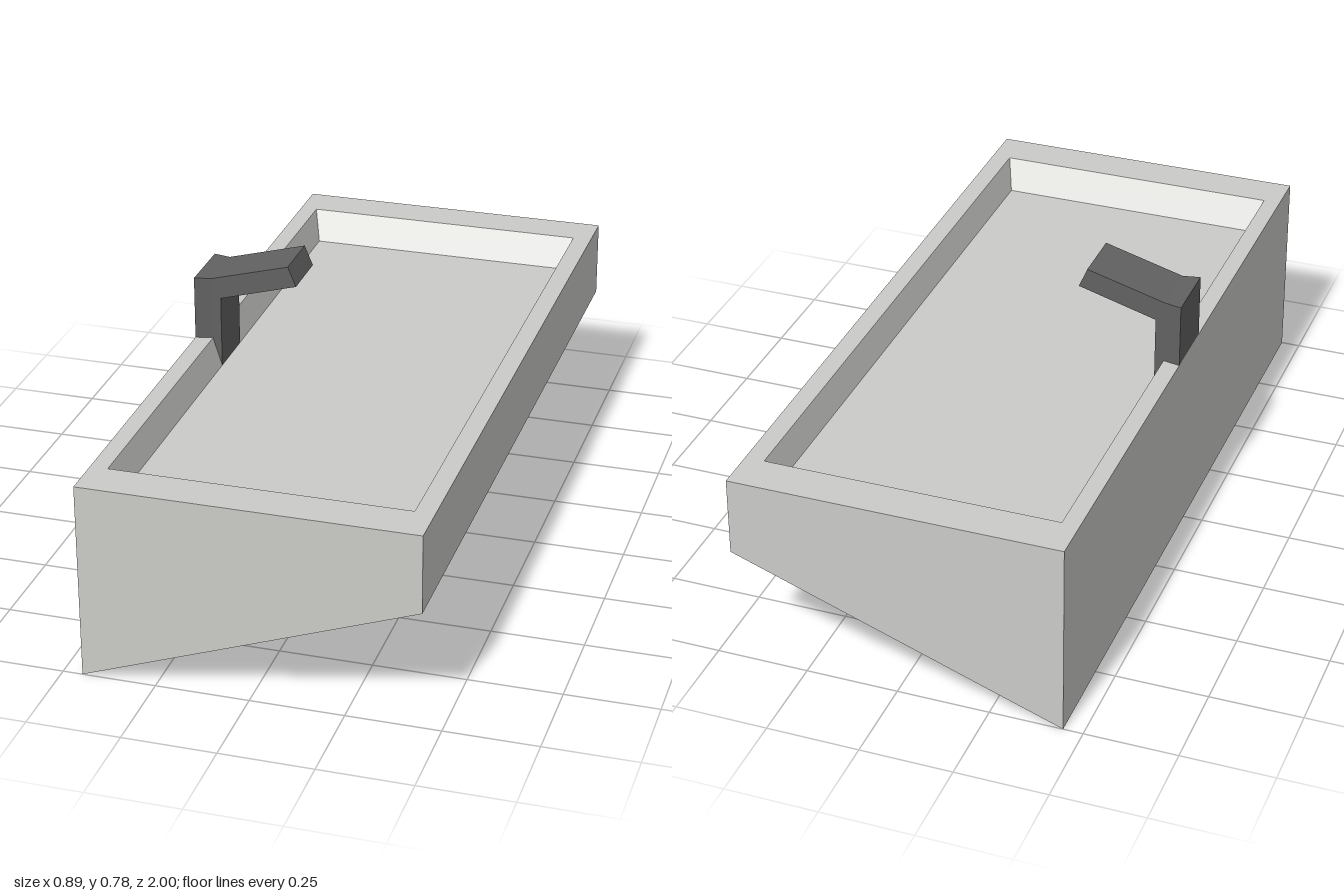
import * as THREE from 'three';

// Rectangular ring of corners, counter-clockwise seen from above
const ring = (x0, x1, z, yLeft, yRight = yLeft) => [
  [x0, yLeft, z], [x1, yRight, z], [x1, yRight, -z], [x0, yLeft, -z],
];

// Joins successive rings with flat quads and closes both ends
function loftRings(rings) {
  const pos = [];
  const quad = (a, b, c, d) => pos.push(...a, ...b, ...c, ...a, ...c, ...d);
  for (let k = 0; k < rings.length - 1; k++) {
    for (let i = 0; i < 4; i++) {
      const j = (i + 1) % 4;
      quad(rings[k][i], rings[k][j], rings[k + 1][j], rings[k + 1][i]);
    }
  }
  quad(...[...rings[0]].reverse());
  quad(...rings[rings.length - 1]);
  const geo = new THREE.BufferGeometry();
  geo.setAttribute('position', new THREE.Float32BufferAttribute(pos, 3));
  geo.computeVertexNormals();
  return geo;
}

// Side profile extruded along z, centred on z = 0
function extrudeProfile(points, halfWidth) {
  const shape = new THREE.Shape(points.map(([x, y]) => new THREE.Vector2(x, y)));
  return new THREE.ExtrudeGeometry(shape, { depth: 2 * halfWidth, bevelEnabled: false })
    .translate(0, 0, -halfWidth);
}

export function createModel() {
  const ceramic = new THREE.MeshStandardMaterial({ color: 0xcbcbc8 });
  ceramic.name = 'lightGrey';
  const metal = new THREE.MeshStandardMaterial({ color: 0x626262 });
  metal.name = 'darkGrey';

  const model = new THREE.Group();
  model.name = 'sink';
  const add = (parent, name, geo, mat) => {
    const mesh = new THREE.Mesh(geo, mat);
    mesh.name = name;
    parent.add(mesh);
  };

  // Wedge body with a shallow sloped basin
  add(model, 'basin', loftRings([
    ring(-0.447, 0.447, 1, 0, 0.325),
    ring(-0.447, 0.447, 1, 0.54),
    ring(-0.4, 0.395, 0.885, 0.54),
    ring(-0.375, 0.37, 0.832, 0.46),
  ]), ceramic);

  const tap = new THREE.Group();
  tap.name = 'tap';
  model.add(tap);

  // Rear of the post, flaring towards the back
  const post = extrudeProfile([[-0.447, 0.54], [-0.4, 0.54], [-0.4, 0.717], [-0.447, 0.717]], 0.077);
  const p = post.attributes.position;
  for (let i = 0; i < p.count; i++) {
    if (p.getX(i) < -0.42) p.setZ(i, Math.sign(p.getZ(i)) * 0.087);
  }
  post.computeVertexNormals();
  add(tap, 'postBack', post, metal);

  // Front of the post reaching into the basin, with the rising spout
  add(tap, 'spout', extrudeProfile([
    [-0.4, 0.54], [-0.375, 0.46], [-0.375, 0.661],
    [-0.16, 0.722], [-0.183, 0.777], [-0.4, 0.717],
  ], 0.077), metal);

  return model;
}
